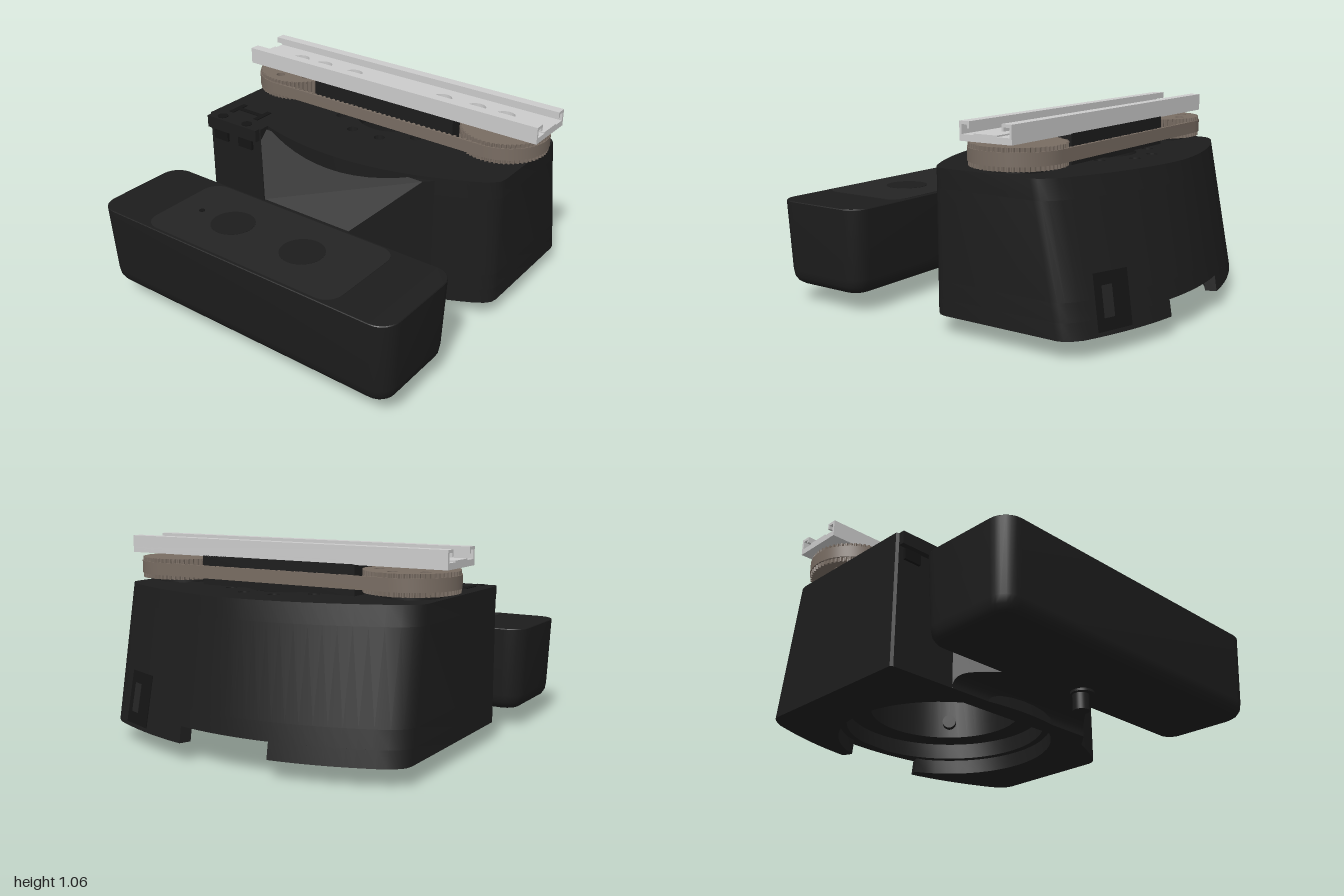
import * as THREE from 'three';
import { toCreasedNormals } from 'three/addons/utils/BufferGeometryUtils.js';

const mat = c => new THREE.MeshStandardMaterial({ color: c });
const dark = mat(0x1d1d1d), panelMat = mat(0x242424), black = mat(0x141414);
const brown = mat(0x786c62), silver = mat(0xcccccc);
const CX = 0.395, Y0 = 0.097, Y1 = 0.818;

function add(parent, name, geo, material, x = 0, y = 0, z = 0) {
  const m = new THREE.Mesh(geo, material);
  m.name = name;
  m.position.set(x, y, z);
  parent.add(m);
  return m;
}
const box = (w, h, d) => new THREE.BoxGeometry(w, h, d);
const cyl = (r, h, n = 32) => new THREE.CylinderGeometry(r, r, h, n);
const shapeOf = pts => new THREE.Shape(pts.map(p => new THREE.Vector2(p[0], p[1])));
function hole(shape, x, z, r) {
  shape.holes.push(new THREE.Path().absarc(x, z, r, 0, Math.PI * 2, true));
  return shape;
}
// Plan shape (x, z) extruded between two heights
function slab(shape, y0, y1) {
  const g = new THREE.ExtrudeGeometry(shape, { depth: y1 - y0, bevelEnabled: false, curveSegments: 24 });
  return g.rotateX(Math.PI / 2).translate(0, y1, 0);
}
function roundRect(hw, hd, r, cx = 0) {
  const pts = [];
  [[1, 1], [-1, 1], [-1, -1], [1, -1]].forEach(([sx, sz], q) => {
    for (let i = 0; i <= 6; i++) {
      const a = (q + i / 6) * Math.PI / 2;
      pts.push([cx + sx * (hw - r) + r * Math.cos(a), sz * (hd - r) + r * Math.sin(a)]);
    }
  });
  return pts;
}
// Closed solid through equal-length plan rings, bottom to top
function loft(rings) {
  const pos = [], idx = [], n = rings[0].pts.length;
  rings.forEach(({ y, pts }) => pts.forEach(p => pos.push(p[0], y, p[1])));
  for (let k = 0; k < rings.length - 1; k++)
    for (let i = 0; i < n; i++) {
      const a = k * n + i, b = k * n + (i + 1) % n;
      idx.push(a, a + n, b, b, a + n, b + n);
    }
  const top = (rings.length - 1) * n;
  for (let i = 1; i < n - 1; i++) idx.push(0, i, i + 1, top, top + i + 1, top + i);
  const g = new THREE.BufferGeometry();
  g.setAttribute('position', new THREE.Float32BufferAttribute(pos, 3));
  g.setIndex(idx);
  return toCreasedNormals(g, 0.6);
}

// Body outline: bowed right and left walls, square block at the back left
function outline(zs) {
  const pts = [], right = z => 1.01 - z * z / 3.5, left = z => -0.22 + z * z / 2.95;
  for (let i = 0; i <= 12; i++) { const z = zs + (0.8 - zs) * i / 12; pts.push([right(z), z]); }
  pts.push([0.79, 0.845], [0.765, 0.866], [0.73, 0.874], [0.09, 0.874], [0.055, 0.866], [0.025, 0.84]);
  for (let i = 0; i <= 16; i++) { const z = 0.8 - 1.29 * i / 16; pts.push([left(z), z]); }
  pts.push([-0.2, -0.49], [-0.2, -0.86], [-0.19, -0.874], [0.73, -0.874], [0.765, -0.866], [0.79, -0.845]);
  for (let i = 0; i <= 12; i++) { const z = -0.8 + (0.8 - zs) * i / 12; pts.push([right(z), z]); }
  return pts;
}
// Lean the right wall inwards towards the top
function lean(g) {
  const p = g.attributes.position;
  for (let i = 0; i < p.count; i++) {
    const x = p.getX(i), z = p.getZ(i), t = (p.getY(i) - Y0) / (Y1 - Y0);
    if (x > 0.6 && Math.hypot(x - CX, z) > 0.59) p.setX(i, x - (0.11 + 0.04 * Math.abs(z)) * t);
  }
  return toCreasedNormals(g, 0.6);
}

function buildBody() {
  const g = new THREE.Group();
  g.name = 'body';
  // Foot with a round recess that breaks through the right wall
  const foot = outline(0.26), a0 = Math.atan2(0.26, 0.595);
  for (let i = 0; i <= 48; i++) {
    const a = -a0 - (Math.PI * 2 - 2 * a0) * i / 48;
    foot.push([CX + 0.59 * Math.cos(a), 0.59 * Math.sin(a)]);
  }
  add(g, 'bodyFoot', lean(slab(shapeOf(foot), Y0, 0.18)), dark);
  // Stepped bore
  add(g, 'bodyRecess', lean(slab(hole(shapeOf(outline(0.001)), CX, 0, 0.55), 0.18, 0.27)), dark);
  add(g, 'bodyWall', lean(slab(hole(shapeOf(outline(0.001)), CX, 0, 0.42), 0.27, 0.72)), dark);
  const plate = hole(shapeOf(outline(0.001)), CX, 0, 0.215);
  for (const sx of [-1, 1]) for (const sz of [-1, 1]) {
    hole(plate, CX + sx * 0.285, sz * 0.09, 0.03);
    hole(plate, CX + sx * 0.175, sz * 0.25, 0.03);
  }
  add(g, 'bodyTop', lean(slab(plate, 0.72, Y1)), dark);
  // Bosses inside the bore
  for (let i = 0; i < 4; i++) {
    const a = Math.PI / 4 + i * Math.PI / 2;
    const b = add(g, 'boreBoss', cyl(0.04, 0.06, 20), dark, CX + 0.41 * Math.cos(a), 0.36, 0.41 * Math.sin(a));
    b.rotation.set(0, -a, Math.PI / 2);
  }
  // Socket on the right wall
  const socket = new THREE.Group();
  socket.name = 'socket';
  socket.position.set(0.868, 0.25, 0.62);
  socket.rotation.set(0, -0.34, 0.18, 'YZX');
  add(socket, 'socketPlate', box(0.01, 0.27, 0.2), black);
  add(socket, 'socketPort', box(0.014, 0.15, 0.06), panelMat, 0, 0, 0.03);
  g.add(socket);
  // Lip, clips and screws on the back left block
  add(g, 'clipLip', box(0.04, 0.07, 0.36), dark, -0.212, Y1 - 0.035, -0.68);
  for (const z of [-0.78, -0.6]) {
    add(g, 'clipScrew', cyl(0.03, 0.008, 20), black, -0.19, Y1, z);
    add(g, 'clipBar', box(0.12, 0.008, 0.03), black, -0.06, Y1, z);
    add(g, 'clipTab', box(0.03, 0.06, 0.1), black, -0.2, 0.71, z);
  }
  add(g, 'clipBridge', box(0.03, 0.008, 0.18), black, -0.06, Y1, -0.69);
  return g;
}

function buildArm() {
  const g = new THREE.Group();
  g.name = 'arm';
  const s = new THREE.Shape();
  s.moveTo(-0.43, 0.2);
  s.lineTo(-0.41, 0.18);
  s.lineTo(-0.28, 0.18);
  s.quadraticCurveTo(-0.2, 0.18, -0.2, Y0);
  s.lineTo(-0.1, Y0);
  s.lineTo(-0.1, 0.8);
  s.lineTo(-0.15, 0.8);
  s.lineTo(-0.42, 0.55);
  s.lineTo(-0.43, 0.5);
  const geo = new THREE.ExtrudeGeometry(s, { depth: 1, bevelEnabled: false });
  // Widen the arm towards the body
  const p = geo.attributes.position;
  for (let i = 0; i < p.count; i++) p.setZ(i, (p.getZ(i) * 2 - 1) * (0.26 + 0.96 * (p.getX(i) + 0.44)));
  add(g, 'armBracket', toCreasedNormals(geo, 0.5), dark);
  add(g, 'armJoint', box(0.06, 0.16, 0.44), dark, -0.445, 0.38, 0);
  return g;
}

function buildSideBox() {
  const g = new THREE.Group();
  g.name = 'sideBox';
  const rings = [[Y0, 0.085], [0.102, 0.06], [0.117, 0.037], [0.142, 0.022], [0.18, 0.016], [0.553, 0], [0.557, 0.003]]
    .map(([y, d]) => ({ y, pts: roundRect(0.28 - d, 0.925 - d, 0.1 - d * 0.5, -0.72) }));
  add(g, 'sideBoxShell', loft(rings), dark);
  add(g, 'sideBoxPanel', slab(shapeOf(roundRect(0.265, 0.605, 0.09, -0.72)), 0.55, 0.56), panelMat);
  for (const z of [-0.23, 0.225]) add(g, 'button', cyl(0.115, 0.01, 48), dark, -0.72, 0.557, z);
  add(g, 'indicator', cyl(0.016, 0.01, 16), black, -0.72, 0.557, -0.45);
  add(g, 'pegCollar', cyl(0.06, 0.03), dark, -0.61, 0.1, 0);
  add(g, 'peg', cyl(0.042, 0.11), dark, -0.6, 0.055, 0);
  return g;
}

function buildDrive() {
  const g = new THREE.Group();
  g.name = 'beltDrive';
  const teeth = [];
  for (let i = 0; i < 240; i++) {
    const a = i / 240 * Math.PI * 2, r = i % 4 < 2 ? 0.235 : 0.225;
    teeth.push([r * Math.cos(a), r * Math.sin(a)]);
  }
  for (const s of [-1, 1]) {
    const wheel = shapeOf(teeth);
    // Lightening holes in the rear wheel
    if (s < 0) for (let i = 0; i < 6; i++) hole(wheel, 0.155 * Math.cos(i * Math.PI / 3 + 0.15), 0.155 * Math.sin(i * Math.PI / 3 + 0.15), 0.025);
    add(g, 'pulley', slab(wheel, 0.84, 0.948), brown, CX, 0, s * 0.69);
    add(g, 'pulleyBase', cyl(0.15, 0.04), dark, CX, 0.825, s * 0.69);
  }
  const stadium = (r, C) => new C().absarc(0, 0.69, r, 0, Math.PI, false).absarc(0, -0.69, r, Math.PI, Math.PI * 2, false);
  const loop = stadium(0.239, THREE.Shape);
  loop.closePath();
  loop.holes.push(stadium(0.23, THREE.Path));
  add(g, 'belt', toCreasedNormals(slab(loop, 0.863, 0.928), 0.5), brown, CX);
  for (const s of [-1, 1]) for (let i = 0; i < 44; i++)
    add(g, 'beltTooth', box(0.012, 0.065, 0.015), brown, CX + s * 0.225, 0.8955, -0.68 + i * 1.36 / 43);
  // Carrier block between the pulleys
  const carrier = shapeOf([[0.25, -0.46], [0.54, -0.46], [0.54, 0.46], [0.25, 0.46]]);
  hole(hole(carrier, CX, -0.3, 0.04), CX, 0.3, 0.04);
  add(g, 'carrier', slab(carrier, 0.81, 0.97), dark);
  return g;
}

function buildRail() {
  const g = new THREE.Group();
  g.name = 'rail';
  const zs = [-0.69, -0.52, -0.3, 0.3, 0.51, 0.685], L = 0.944;
  // Floor and raised rib, with stepped screw holes
  const layer = (hw, r) => {
    const s = shapeOf([[CX - hw, -L], [CX + hw, -L], [CX + hw, L], [CX - hw, L]]);
    zs.forEach(z => hole(s, CX, z, r));
    return s;
  };
  add(g, 'railFloor', slab(layer(0.145, 0.032), 0.967, 0.985), silver);
  add(g, 'railFloorTop', slab(layer(0.145, 0.055), 0.985, 0.998), silver);
  add(g, 'railRib', slab(layer(0.065, 0.055), 0.998, 1.005), silver);
  // Hooked side walls
  for (const s of [-1, 1]) {
    const pts = [[0.145, 0.99], [0.145, 1.058], [0.09, 1.058], [0.09, 1.025], [0.102, 1.025], [0.102, 1.043], [0.132, 1.043], [0.132, 0.99]];
    const geo = new THREE.ExtrudeGeometry(shapeOf(pts.map(p => [s * p[0], p[1]])), { depth: 2 * L, bevelEnabled: false });
    add(g, 'railSide', geo, silver, CX, 0, -L);
  }
  return g;
}

export function createModel() {
  const model = new THREE.Group();
  model.name = 'beltDriveUnit';
  model.add(buildBody(), buildArm(), buildSideBox(), buildDrive(), buildRail());
  return model;
}
